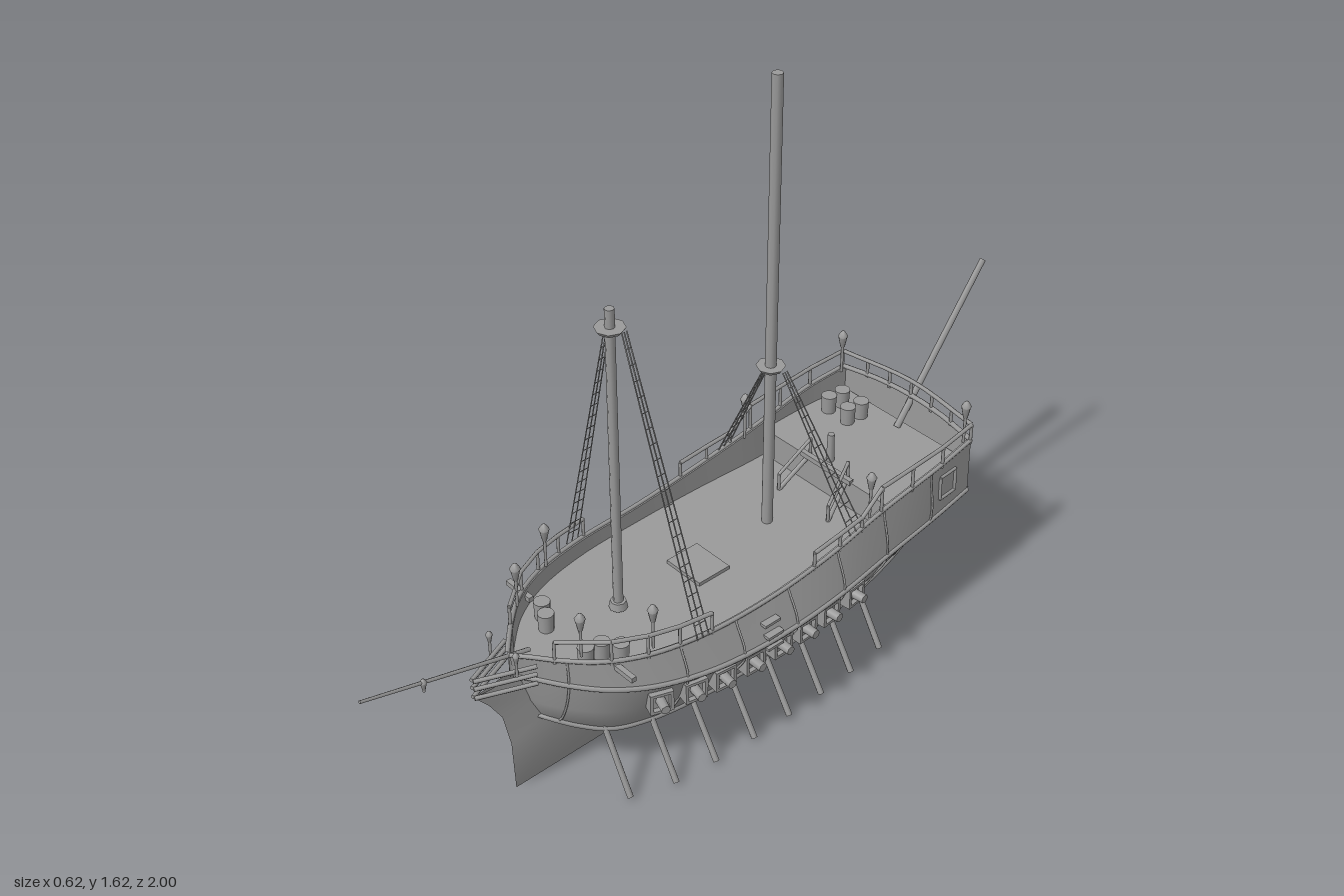
import * as THREE from 'three';

const V = (x, y, z) => new THREE.Vector3(x, y, z);
const mat = new THREE.MeshStandardMaterial({ color: 0x999999 });
const shell = new THREE.MeshStandardMaterial({ color: 0x999999, side: THREE.DoubleSide });

// Hull lines: each row runs stern to bow with half-widths, heights and its own end positions
const stations = [-0.73, -0.6, -0.4, -0.2, 0, 0.2, 0.35, 0.45, 0.52, 0.57, 0.6];
const makeRow = (stern, bow, widths, heights) => {
  const pts = stations.map((n, i) =>
    V(widths[i], heights[i], THREE.MathUtils.mapLinear(n, -0.73, 0.6, stern, bow)));
  return new THREE.CatmullRomCurve3(pts).getPoints(70);
};
const bottom = makeRow(-0.68, 0.53, [.06, .08, .1, .105, .105, .1, .085, .065, .04, .015, .004],
  [.12, .105, .095, .09, .09, .095, .11, .13, .16, .19, .2]);
const bilge = makeRow(-0.68, 0.55, [.1, .13, .165, .18, .182, .178, .163, .135, .09, .045, .004],
  [.17, .155, .15, .145, .145, .15, .16, .17, .19, .21, .22]);
const mid = makeRow(-0.69, 0.57, [.13, .185, .22, .238, .242, .235, .205, .16, .105, .052, .004],
  [.29, .26, .24, .24, .24, .24, .245, .25, .26, .27, .28]);
const wale = makeRow(-0.725, 0.59, [.235, .245, .26, .28, .285, .27, .23, .173, .105, .045, .004],
  [.36, .345, .33, .32, .315, .32, .33, .34, .35, .36, .36]);
const top = makeRow(-0.728, 0.6, [.23, .24, .238, .245, .245, .236, .205, .155, .093, .038, .004],
  [.515, .5, .465, .43, .41, .41, .415, .42, .425, .43, .43]);
const hullRows = [bottom, bilge, mid, wale, top];
const keelLine = bottom.map(p => V(0, p.y, p.z));
const inset = (row, d, y) => row.map(p => V(Math.max(p.x - d, 0), y ?? p.y, p.z));
const side = (row, s) => row.map(p => V(p.x * s, p.y, p.z));

// Point on a row at a given z
function at(row, z) {
  const i = row.findIndex(p => p.z >= z);
  if (i < 0) return row[row.length - 1].clone();
  if (i === 0) return row[0].clone();
  const a = row[i - 1], b = row[i];
  return a.clone().lerp(b, (z - a.z) / (b.z - a.z));
}
function hullX(y, z) {
  const pts = hullRows.map(r => at(r, z));
  const i = Math.max(1, pts.findIndex(p => p.y >= y));
  return pts[i - 1].lerp(pts[i], (y - pts[i - 1].y) / (pts[i].y - pts[i - 1].y)).x;
}

// Skin through rows of points
function loft(rows, flip = false) {
  const n = rows[0].length, idx = [];
  for (let r = 0; r < rows.length - 1; r++)
    for (let c = 0; c < n - 1; c++) {
      const a = r * n + c, b = a + 1, d = a + n, e = d + 1;
      idx.push(...(flip ? [a, b, d, b, e, d] : [a, d, b, b, d, e]));
    }
  const g = new THREE.BufferGeometry().setFromPoints(rows.flat());
  g.setIndex(idx);
  g.computeVertexNormals();
  return g;
}

export function createModel() {
  const ship = new THREE.Group();
  ship.name = 'sailingShip';
  const add = (name, geo, pos, m = mat, parent = ship) => {
    const mesh = new THREE.Mesh(geo, m);
    mesh.name = name;
    if (pos) mesh.position.copy(pos);
    parent.add(mesh);
    return mesh;
  };
  const box = (name, w, h, d, x, y, z) => add(name, new THREE.BoxGeometry(w, h, d), V(x, y, z));
  const bar = (name, a, b, r, r2 = r, sides = 6) => {
    const mesh = add(name, new THREE.CylinderGeometry(r2, r, a.distanceTo(b), sides), a.clone().lerp(b, 0.5));
    mesh.quaternion.setFromUnitVectors(V(0, 1, 0), b.clone().sub(a).normalize());
  };
  const tube = (name, pts, r, seg = 40) =>
    add(name, new THREE.TubeGeometry(new THREE.CatmullRomCurve3(pts), seg, r, 6));

  // Hull skin, bulwarks and trim
  const topIn = inset(top, 0.01);
  const mainY = 0.365, poopY = 0.447;
  for (const s of [1, -1]) {
    const skin = (name, ...rows) => add(name, loft(rows.map(r => side(r, s)), s < 0), null, shell);
    skin('lowerHull', keelLine, bottom, bilge, mid, wale);
    skin('upperHull', wale, top);
    skin('bulwarkCap', top, topIn);
    skin('bulwarkInside', topIn, inset(top, 0.01, mainY - 0.005));
    tube('lowerRubbingStrake', side(bilge, s), 0.008, 70);
    tube('wale', side(wale, s), 0.007, 70);
    tube('gunwale', side(top, s), 0.006, 70);
    for (const z of [0.51, 0.27, 0.11, -0.06, -0.23, -0.4, -0.57])
      tube('hullRib', side(hullRows.map(r => at(r, z)), s), 0.003, 16);
  }

  // Stern transom, slightly bowed outward
  const transom = hullRows.map(r =>
    [-1, -0.5, 0, 0.5, 1].map(k => V(r[0].x * k, r[0].y + 0.012 * (1 - k * k), r[0].z - 0.02 * (1 - k * k))));
  add('lowerTransom', loft(transom.slice(0, 4)), null, shell);
  add('upperTransom', loft(transom.slice(3)), null, shell);
  tube('transomBeam', transom[3], 0.007, 12);
  tube('transomCap', transom[4], 0.007, 12);

  // Decks
  const deck = (name, z0, z1, y) => {
    const edge = Array.from({ length: 31 }, (_, i) => at(top, z0 + (z1 - z0) * i / 30))
      .map(p => V(Math.max(p.x - 0.008, 0), y, p.z));
    add(name, loft([side(edge, -1), edge], true), null, shell);
  };
  deck('mainDeck', -0.45, 0.585, mainY);
  deck('poopDeck', -0.735, -0.44, poopY);
  box('poopBulkhead', 0.45, poopY - mainY, 0.012, 0, (poopY + mainY) / 2, -0.44);
  box('poopBeam', 0.18, 0.014, 0.014, 0, poopY, -0.436);
  box('hatch', 0.12, 0.012, 0.1, 0, mainY + 0.004, 0.01);

  // Keel and cutwater: a wedge from the hull to a sharp outer edge
  const edge = [[0, -0.69], [0, -0.4], [0, 0], [0, 0.3], [0, 0.605], [0.15, 0.61], [0.25, 0.63], [0.31, 0.665], [0.36, 0.705]];
  const root = [[.014, .12, -.69], [.04, .1, -.4], [.05, .095, 0], [.05, .115, .3], [.04, .18, .48],
    [.03, .22, .53], [.022, .28, .555], [.018, .325, .565], [.014, .365, .565]];
  const keelEdge = edge.map(([y, z]) => V(0, y, z)), keelRoot = root.map(p => V(...p));
  for (const s of [1, -1]) add('keel', loft([keelEdge, side(keelRoot, s)], s < 0), null, shell);
  box('sternPost', 0.014, 0.31, 0.014, 0, 0.155, -0.684);

  // Masts with platforms
  const mast = (name, x, z, height, r, topY) => {
    bar(name, V(x, mainY - 0.01, z), V(x, height, z), r, r * 0.95, 8);
    add('mastPlatform', new THREE.CylinderGeometry(0.037, 0.03, 0.01, 8), V(x, topY, z));
  };
  mast('foreMast', -0.008, 0.262, 1.228, 0.0125, 1.175);
  mast('mainMast', -0.016, -0.242, 1.622, 0.0145, 0.84);
  add('foreMastCollar', new THREE.CylinderGeometry(0.02, 0.024, 0.02, 8), V(-0.008, mainY + 0.02, 0.262));
  bar('bowsprit', V(0, 0.41, 0.54), V(0, 0.535, 1), 0.006, 0.004);
  bar('sternPole', V(0, poopY, -0.7), V(0, 0.845, -0.995), 0.009, 0.008);

  // Shrouds with ratlines
  const shrouds = (zTop, yTop, zFeet, steps) => {
    for (const s of [1, -1]) {
      const ropes = zFeet.map((z, i) => [V(0.243 * s, at(top, z).y, z), V(0.028 * s - 0.01, yTop, zTop - i * 0.007)]);
      ropes.forEach(([a, b]) => bar('shroud', a, b, 0.002, 0.002, 4));
      for (let k = 1; k < steps; k++) {
        const p = ropes.map(([a, b]) => a.clone().lerp(b, k / steps));
        bar('ratline', p[0], p[p.length - 1], 0.0015, 0.0015, 4);
      }
    }
  };
  shrouds(0.25, 1.17, [0.23, 0.213, 0.195], 20);
  shrouds(-0.25, 0.835, [-0.28, -0.3, -0.32], 11);

  // Lantern on a short post
  const lanternProfile = [[0, 0], [0.006, 0], [0.012, 0.03], [0.014, 0.034], [0.007, 0.046], [0, 0.052]]
    .map(p => new THREE.Vector2(...p));
  const lantern = (x, y, z, post, size = 1) => {
    add('lantern', new THREE.LatheGeometry(lanternProfile, 8), V(x, y, z)).scale.setScalar(size);
    bar('lanternPost', V(x, y - post, z), V(x, y + 0.005, z), 0.004);
  };
  lantern(0, 0.468, 0.835, 0.005, 0.65);

  // Guard rails given as z, height pairs, standing on the gunwale
  const rail = (s, path) => {
    const pts = path.map(([z, y]) => V(at(top, z).x * s, y, z));
    pts.forEach((p, i) => {
      bar('railPost', V(p.x, at(top, p.z).y - 0.01, p.z), p, 0.0045);
      if (i) bar('railBar', pts[i - 1], p, 0.0055);
    });
  };
  for (const s of [1, -1]) {
    rail(s, [[0.53, 0.48], [0.43, 0.477], [0.35, 0.473], [0.27, 0.468], [0.18, 0.465]]);
    rail(s, [[-0.15, 0.468], [-0.24, 0.477], [-0.32, 0.485], [-0.39, 0.54], [-0.5, 0.548], [-0.61, 0.556], [-0.725, 0.565]]);
    for (const [z, y, post] of [[0.48, 0.512, 0.08], [0.33, 0.502, 0.08], [-0.36, 0.545, 0.09], [-0.71, 0.59, 0.08]])
      lantern((at(top, z).x - 0.012) * s, y, z, post);
    lantern(0.05 * s, 0.445, 0.615, 0.04, 0.65);

    // Oars slanting down from the lower strake
    for (const z of [0.425, 0.31, 0.19, 0.065, -0.055, -0.17, -0.285, -0.405]) {
      const p = at(bilge, z);
      bar('oar', V((p.x - 0.008) * s, p.y + 0.015, z), V((p.x + 0.088) * s, 0.008, z), 0.008, 0.009);
    }

    // Gun ports with muzzles, turned to follow the hull
    for (const z of [0.33, 0.245, 0.165, 0.075, -0.015, -0.1, -0.185, -0.28]) {
      const port = new THREE.Group();
      port.name = 'gunPort';
      port.position.set(hullX(0.275, z) * s, 0.275, z);
      port.rotation.y = -s * Math.atan2(hullX(0.275, z - 0.02) - hullX(0.275, z + 0.02), 0.04);
      ship.add(port);
      for (const k of [1, -1]) {
        add('portFrameBar', new THREE.BoxGeometry(0.035, 0.008, 0.058), V(0.005 * s, k * 0.026, 0), mat, port);
        add('portFrameSide', new THREE.BoxGeometry(0.035, 0.058, 0.008), V(0.005 * s, 0, k * 0.026), mat, port);
      }
      add('portBack', new THREE.BoxGeometry(0.02, 0.05, 0.05), null, mat, port);
      const gun = add('gunMuzzle', new THREE.CylinderGeometry(0.012, 0.014, 0.06, 8), V(0.017 * s, 0, 0), mat, port);
      gun.rotation.z = -s * Math.PI / 2;
    }

    // Boarding steps, stern window and cathead
    for (const y of [0.3, 0.335, 0.365]) box('boardingStep', 0.03, 0.008, 0.05, (hullX(y, 0.02) + 0.002) * s, y, 0.02);
    const corner = (y, z) => V((hullX(y, z) + 0.002) * s, y, z);
    const frame = [corner(0.395, -0.605), corner(0.462, -0.605), corner(0.462, -0.665), corner(0.395, -0.665)];
    frame.forEach((p, i) => bar('sternWindowFrame', p, frame[(i + 1) % 4], 0.0045));
    box('cathead', 0.09, 0.014, 0.014, 0.19 * s, 0.4, 0.42);

    // Head rails running to the beak
    for (const y of [0.36, 0.388, 0.412]) bar('headRail', V(0.06 * s, y, 0.565), V(0.003 * s, y, 0.705), 0.006);

    // Stair sides flaring toward the main deck
    const foot = V(0.09 * s, mainY, -0.355), head = V(0.068 * s, poopY, -0.445);
    const up = V(0, 0.05, 0), footTop = foot.clone().add(up), headTop = head.clone().add(up);
    bar('stairStringer', foot, head, 0.006);
    bar('stairHandrail', footTop, headTop, 0.0045);
    bar('stairPost', foot, footTop, 0.0045);
    bar('stairPost', head, headTop, 0.0045);
  }

  // Rail across the stern
  tube('sternRail', [V(-0.23, 0.565, -0.725), V(0, 0.572, -0.748), V(0.23, 0.565, -0.725)], 0.006, 10);
  for (const x of [-0.15, -0.075, 0, 0.075, 0.15])
    bar('railPost', V(x, 0.515, -0.747 + x * x * 0.4), V(x, 0.57, -0.747 + x * x * 0.4), 0.0045);

  // Steering post and barrels
  bar('steeringPost', V(-0.015, poopY, -0.465), V(-0.015, 0.53, -0.465), 0.011, 0.009, 8);
  for (const [x, z] of [[-0.17, -0.665], [-0.1, -0.665], [-0.175, -0.62], [-0.105, -0.62],
    [0.13, 0.37], [0.095, 0.4], [0.085, 0.44], [-0.11, 0.415], [-0.07, 0.435]])
    add('barrel', new THREE.CylinderGeometry(0.021, 0.019, 0.05, 12), V(x, (z < 0 ? poopY : mainY) + 0.025, z));

  return ship;
}
